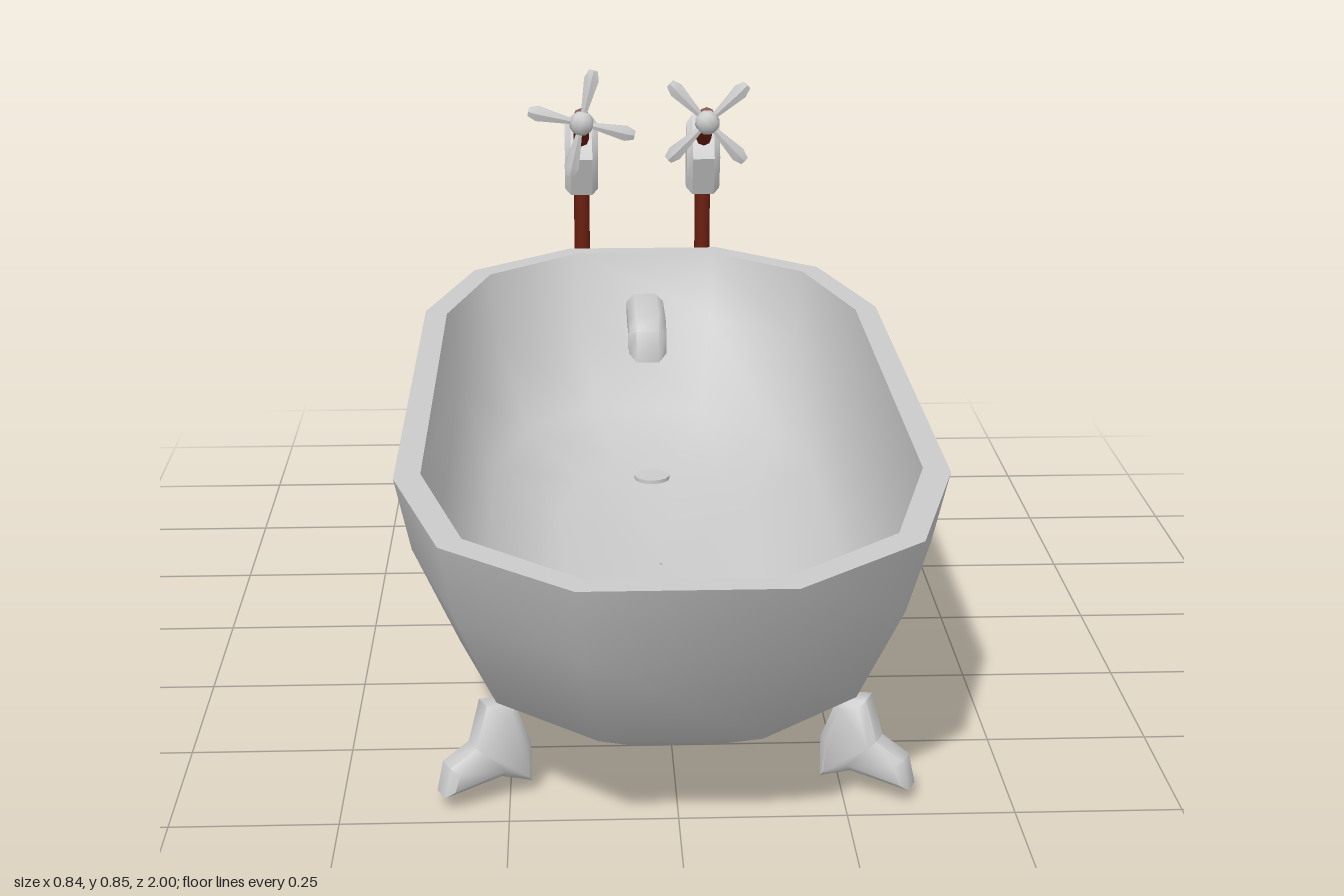
import * as THREE from 'three';
import { toCreasedNormals } from 'three/addons/utils/BufferGeometryUtils.js';

const enamel = new THREE.MeshStandardMaterial({ color: 0xcccccc });
const copper = new THREE.MeshStandardMaterial({ color: 0x6a1e0e });
const V = (x, y, z) => new THREE.Vector3(x, y, z);

function add(parent, name, geometry, material = enamel) {
  const mesh = new THREE.Mesh(geometry, material);
  mesh.name = name;
  parent.add(mesh);
  return mesh;
}

// Straight round pipe between two points
function pipe(parent, name, a, b, r) {
  const d = b.clone().sub(a);
  const geo = new THREE.CylinderGeometry(r, r, d.length(), 8);
  const mesh = add(parent, name, toCreasedNormals(geo, 0.9), copper);
  mesh.position.copy(a).add(b).multiplyScalar(0.5);
  mesh.quaternion.setFromUnitVectors(V(0, 1, 0), d.normalize());
  return mesh;
}

// Side profile extruded to a width, with bevelled edges kept inside the outline
function slab(points, width, bevel, crease = 0.7) {
  const shape = new THREE.Shape(points.map(p => new THREE.Vector2(...p)));
  const geo = new THREE.ExtrudeGeometry(shape, {
    depth: width - 2 * bevel, bevelEnabled: true, bevelSize: bevel,
    bevelThickness: bevel, bevelOffset: -bevel, bevelSegments: 1,
  });
  geo.translate(0, 0, bevel - width / 2);
  return toCreasedNormals(geo, crease);
}

// Twelve-sided basin: outer wall down, inner floor up, closed by the rim
function basinGeometry() {
  const half = [[0.15, 1], [0.34, 0.83], [0.42, 0.54], [0.42, -0.4], [0.34, -0.7], [0.15, -0.87]];
  const outline = [...half, ...half.slice().reverse().map(([x, z]) => [-x, z])];
  const mid = 0.065;
  // scale across, scale along, height
  const rings = [
    [0.905, 0.955, 0.463], [1, 1, 0.463], [0.945, 0.945, 0.34], [0.786, 0.807, 0.16],
    [0.44, 0.64, 0.078], [0.004, 0.004, 0.078],
    [0.004, 0.004, 0.135], [0.4, 0.6, 0.135], [0.7, 0.765, 0.19],
    [0.855, 0.905, 0.34], [0.905, 0.955, 0.463],
  ];
  const pos = [], index = [], n = outline.length;
  rings.forEach(([sx, sz, y], i) => {
    outline.forEach(([x, z], j) => {
      pos.push(x * sx, y, mid + (z - mid) * sz);
      if (i === rings.length - 1) return;
      const a = i * n + j, d = i * n + (j + 1) % n;
      index.push(a, a + n, d + n, a, d + n, d);
    });
  });
  const geo = new THREE.BufferGeometry();
  geo.setAttribute('position', new THREE.Float32BufferAttribute(pos, 3));
  geo.setIndex(index);
  return toCreasedNormals(geo, 0.85);
}

// Splayed foot, pointing outward from its corner
function foot(parent, sx, sz) {
  const geo = slab([
    [0.07, 0.02], [0.06, 0.066], [0.018, 0.09], [0.0, 0.155], [-0.045, 0.15],
    [-0.07, 0.085], [-0.07, 0.02], [-0.022, 0.037],
  ], 0.055, 0.012, 1);
  const mesh = add(parent, 'foot', geo);
  mesh.position.set(sx * 0.288, 0, 0.067 + sz * 0.603);
  mesh.rotation.y = Math.atan2(-sz * 0.4, sx * 0.9);
}

// Collar with chamfered ends around a pipe
function collar(parent, x, z, r) {
  const profile = [[0, -0.026], [r * 0.75, -0.026], [r, -0.014], [r, 0.014], [r * 0.75, 0.026], [0, 0.026]];
  const geo = new THREE.LatheGeometry(profile.map(p => new THREE.Vector2(...p)), 8);
  add(parent, 'pipeCollar', toCreasedNormals(geo, 0.8)).position.set(x, 0.2, z);
}

// Standing pipe with valve head, slanted stem and four-armed handle
function tap(parent, x, turn) {
  const group = new THREE.Group();
  group.name = 'tap';
  group.position.x = x;
  parent.add(group);

  pipe(group, 'standPipe', V(0, 0, -0.965), V(0, 0.6, -0.965), 0.016);
  collar(group, 0, -0.965, 0.03);
  const head = slab([
    [-0.965, 0.72], [-0.99, 0.665], [-1, 0.56], [-0.935, 0.56], [-0.902, 0.64], [-0.92, 0.68],
  ], 0.068, 0.012);
  add(group, 'valveHead', head.rotateY(-Math.PI / 2));
  pipe(group, 'handleStem', V(0, 0.75, -0.81), V(0, 0.665, -0.945), 0.016);

  const handle = new THREE.Group();
  handle.name = 'handle';
  handle.position.set(0, 0.738, -0.79);
  handle.rotation.z = turn;
  group.add(handle);
  add(handle, 'hub', new THREE.SphereGeometry(0.025, 8, 6)).scale.z = 0.75;
  const arm = [[0.005, 0.01], [0.017, 0.09], [0.01, 0.108], [0, 0.108]].map(p => new THREE.Vector2(...p));
  for (let i = 0; i < 4; i++) {
    const geo = toCreasedNormals(new THREE.LatheGeometry(arm, 6), 0.7);
    const mesh = add(handle, 'handleArm', geo);
    mesh.scale.z = 0.55;
    mesh.rotation.z = i * Math.PI / 2;
  }
}

export function createModel() {
  const model = new THREE.Group();
  model.name = 'bathtub';

  add(model, 'basin', basinGeometry());
  for (const sx of [-1, 1]) for (const sz of [-1, 1]) foot(model, sx, sz);

  // Plughole on the basin floor
  const drain = add(model, 'drain', new THREE.CylinderGeometry(0.033, 0.033, 0.012, 16));
  drain.position.set(0, 0.136, -0.38);

  // Spout on the back wall
  const spout = slab([
    [-0.81, 0.385], [-0.64, 0.385], [-0.603, 0.36], [-0.595, 0.3],
    [-0.64, 0.302], [-0.665, 0.325], [-0.81, 0.325],
  ], 0.074, 0.015, 1);
  add(model, 'spout', spout.rotateY(-Math.PI / 2));

  // Plumbing behind the basin
  tap(model, -0.125, -0.23);
  tap(model, 0.125, 0.76);
  pipe(model, 'wastePipe', V(0, 0, -0.755), V(0, 0.285, -0.755), 0.027);
  collar(model, 0, -0.755, 0.037);
  pipe(model, 'crossPipe', V(-0.125, 0.2, -0.965), V(0.125, 0.2, -0.965), 0.01);
  pipe(model, 'linkPipe', V(0, 0.2, -0.965), V(0, 0.2, -0.755), 0.01);

  return model;
}
